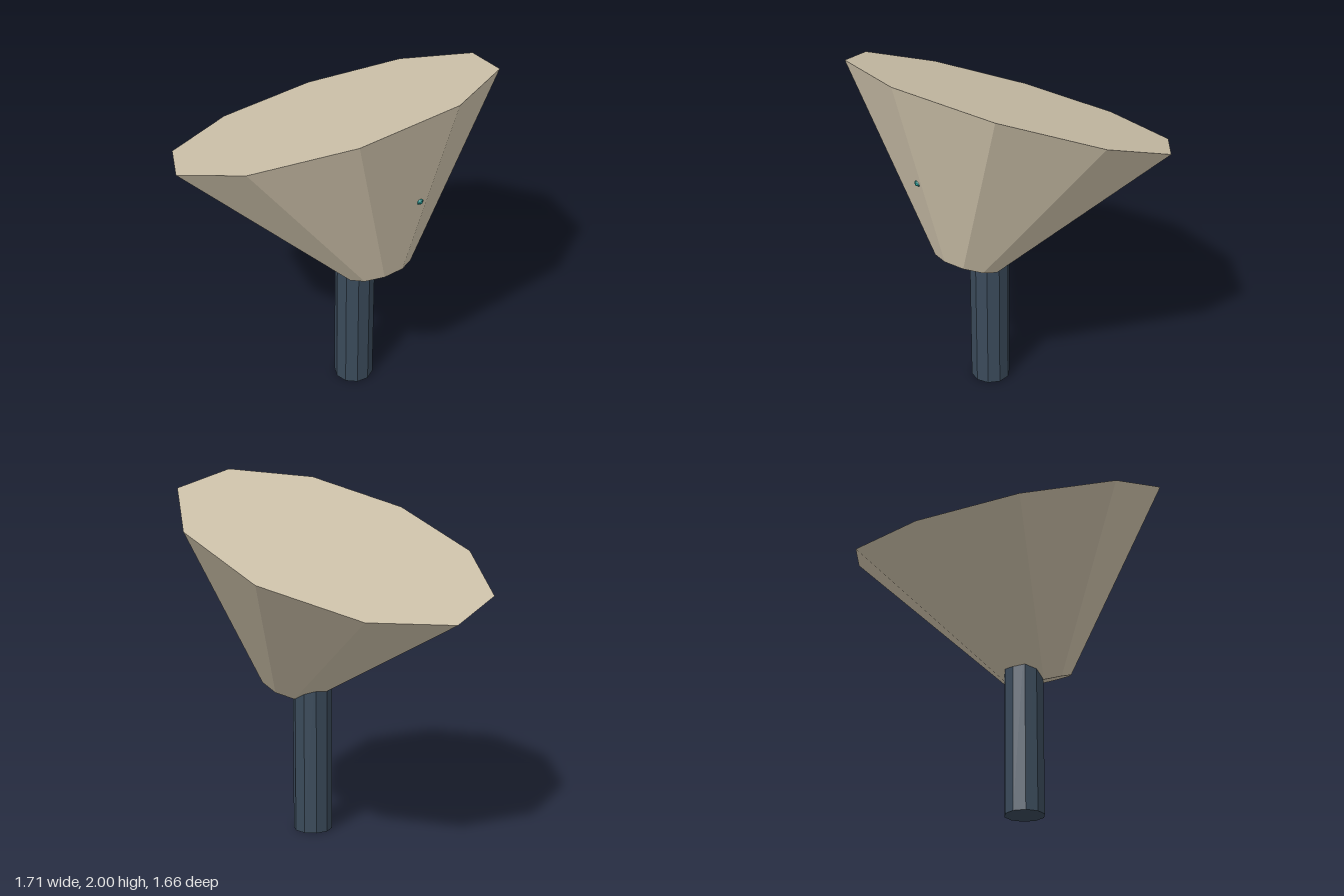
import * as THREE from 'three';

const mat = (color) => new THREE.MeshStandardMaterial({ color, flatShading: true });

function addPart(group, name, geometry, color, x, y, z) {
  const mesh = new THREE.Mesh(geometry, mat(color));
  mesh.name = name;
  mesh.position.set(x, y, z);
  group.add(mesh);
  return mesh;
}

export function createModel() {
  const group = new THREE.Group();
  const sides = 10;

  // Upright post, its top buried in the dish
  const postHeight = 1;
  addPart(group, 'post', new THREE.CylinderGeometry(0.11, 0.11, postHeight, sides), 0x3a4a5a, 0, postHeight / 2, 0.178);

  // Closed funnel-shaped dish, tilted back over the post
  const dish = addPart(group, 'dish', new THREE.CylinderGeometry(0.9, 0.18, 0.9, sides), 0xd2c6ae, 0, 1.236, 0.175);
  dish.rotation.x = -0.4;

  // Small indicator light set into the front facet
  addPart(group, 'indicatorLight', new THREE.IcosahedronGeometry(0.02, 0), 0x2aa5a0, -0.042, 1.4, 0.645);

  return group;
}
